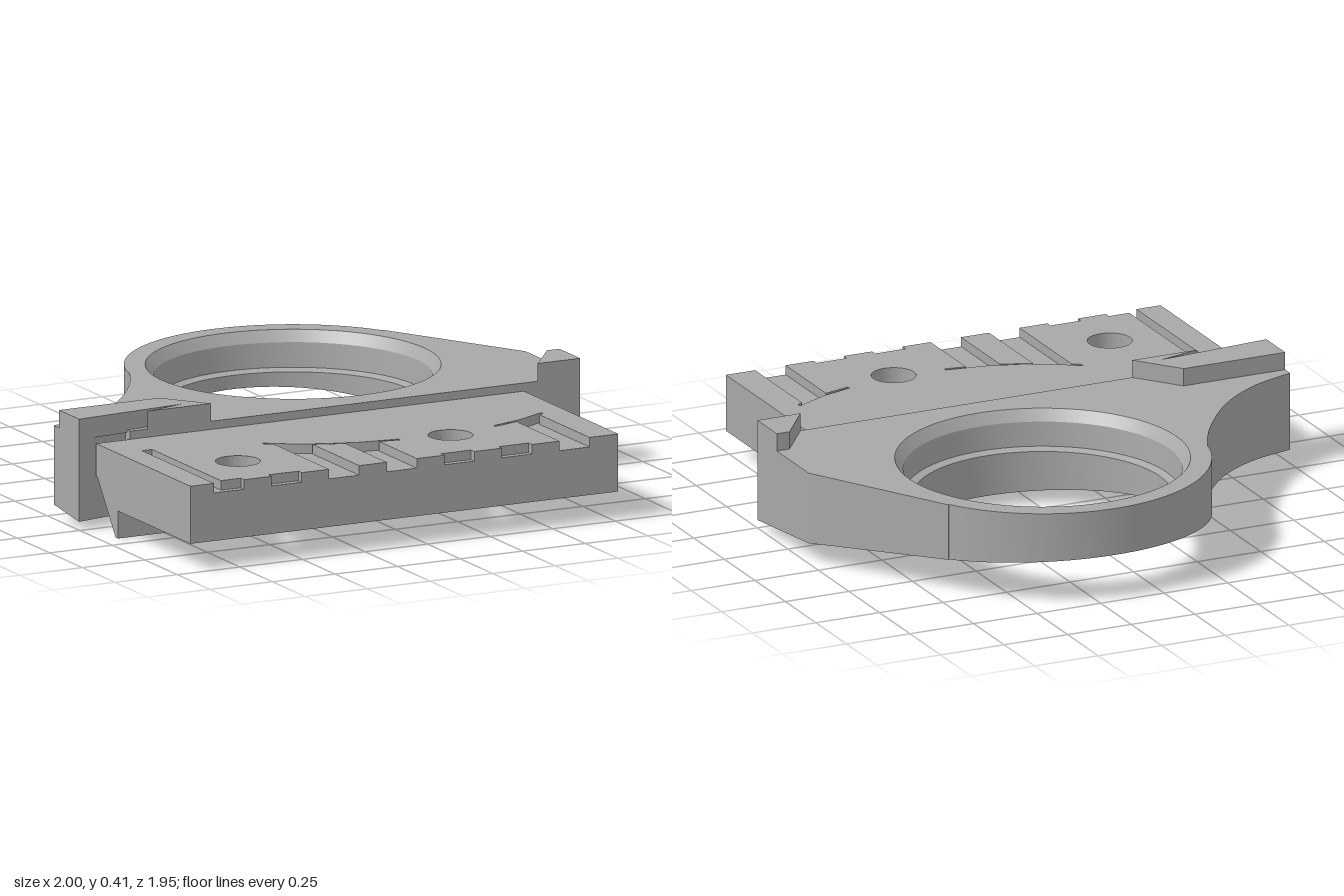
import * as THREE from 'three';
import { toCreasedNormals } from 'three/addons/utils/BufferGeometryUtils.js';

const TOP = 0.34, CX = 0.18, CZ = -0.38;
const underside = (z) => 0.03 + (0.25 - z) * 0.11;

// Closed outline from [x, z] pairs, drawn flat
const outline = (pts) => new THREE.Shape(pts.map(([x, z]) => new THREE.Vector2(x, -z)));

function addHole(shape, x, z, r) {
  const hole = new THREE.Path();
  hole.absarc(x, -z, r, 0, Math.PI * 2, true);
  shape.holes.push(hole);
}

// Raise an outline from y0 to y1
function slab(shape, y0, y1) {
  const g = new THREE.ExtrudeGeometry(shape, { depth: y1 - y0, bevelEnabled: false, curveSegments: 40 });
  return g.rotateX(-Math.PI / 2).translate(0, y0, 0);
}

// Move the bottom vertices (y = 0) onto the sloping underside
function slopeBottom(g) {
  const p = g.attributes.position;
  for (let i = 0; i < p.count; i++) {
    if (p.getY(i) < 0.001) p.setY(i, underside(p.getZ(i)));
  }
  return g;
}

export function createModel() {
  const group = new THREE.Group();
  const gray = new THREE.MeshStandardMaterial({ color: 0xa8a8a8 });
  gray.name = 'gray';
  const add = (name, geometry) => {
    const mesh = new THREE.Mesh(toCreasedNormals(geometry, 0.5), gray);
    mesh.name = name;
    group.add(mesh);
  };

  // Ring plate: round back, straight right flank, hollow left flank
  const plate = new THREE.Shape();
  plate.moveTo(-0.8, -0.25);
  plate.lineTo(1, -0.25);
  plate.lineTo(1, 0.17);
  plate.lineTo(0.70, 0.69);
  const a0 = Math.atan2(0.31, 0.52), a1 = Math.atan2(0.18, -0.57);
  plate.absarc(CX, -CZ, 0.6, a0, a1, false);
  plate.splineThru([[-0.41, 0.5], [-0.5, 0.34], [-0.65, 0.15], [-0.82, 0.02], [-1, -0.05]]
    .map(([x, y]) => new THREE.Vector2(x, y)));
  plate.lineTo(-1, -0.245);
  plate.lineTo(-0.8, -0.215);
  addHole(plate, CX, CZ, 0.525);
  add('ringPlate', slopeBottom(slab(plate, 0, TOP)));

  // Stepped seat lining the large hole
  const seat = [[0.525, TOP], [0.495, 0.30], [0.488, 0.21], [0.46, 0.20], [0.46, 0], [0.53, 0]]
    .map(([r, y]) => new THREE.Vector2(r, y));
  add('ringSeat', slopeBottom(new THREE.LatheGeometry(seat, 80).translate(CX, 0, CZ)));

  // Raised lugs at the front corners of the plate
  add('rightLug', slab(outline([[-1, 0.09], [-1, 0.245], [-0.57, 0.21], [-0.73, 0.25],
    [-0.475, 0.25], [-0.6, 0.09]]), TOP - 0.01, 0.405));
  add('leftLug', slab(outline([[0.95, 0.09], [0.83, 0.25], [1, 0.25], [1, 0.09]]), TOP - 0.01, 0.405));

  // Mounting block with two counterbored screw holes
  const X0 = -0.935, X1 = 0.775, Z1 = 0.975;
  const holes = [-0.61, 0.24];
  for (const [name, y0, y1, r] of [['counterboreLayer', 0.1, 0.2, 0.145], ['blockCore', 0.2, 0.275, 0.08]]) {
    const s = outline([[X0, 0.42], [X0, Z1], [X1, Z1], [X1, 0.42]]);
    holes.forEach((x) => addHole(s, x, 0.715, r));
    add(name, slab(s, y0, y1));
  }

  // Grooved top layer of the block, cut by notches and curved slot ends
  const notch = (a, b) => [[a, Z1], [a, 0.95], [b, 0.95], [b, Z1]];
  const deck = outline([
    [X0, 0.25], [X0, Z1],
    [-0.84, Z1], [-0.84, 0.42], [-0.8, 0.42], [-0.8, 0.95], [-0.72, 0.95], [-0.72, Z1],
    ...notch(-0.61, -0.49),
    [-0.38, Z1], [-0.38, 0.55], [-0.41, 0.53], [-0.41, 0.515], [-0.33, 0.57], [-0.23, 0.62],
    [-0.1, 0.663], [0.05, 0.685], [0.05, 0.697], [-0.03, 0.685], [-0.03, Z1],
    ...notch(0.08, 0.2), ...notch(0.31, 0.43),
    [0.54, Z1], [0.54, 0.645], [0.44, 0.673], [0.44, 0.66], [0.56, 0.625], [0.68, 0.565],
    [0.68, 0.58], [0.66, 0.592], [0.66, Z1],
    [X1, Z1], [X1, 0.25],
  ]);
  holes.forEach((x) => addHole(deck, x, 0.715, 0.08));
  add('groovedDeck', slab(deck, 0.275, 0.31));
  add('deckLand', slab(outline([[-0.26, 0.615], [-0.26, Z1], [-0.15, Z1], [-0.15, 0.657]]), 0.275, 0.31));

  // Hooked rib under the back of the block, with a sloping rear face
  const rib = new THREE.Shape([[0.25, 0.275], [0.25, 0.19], [0.26, 0.19], [0.4, 0], [0.42, 0], [0.42, 0.275]]
    .map(([z, y]) => new THREE.Vector2(-z, y)));
  const ribGeometry = new THREE.ExtrudeGeometry(rib, { depth: X1 - X0, bevelEnabled: false });
  add('hookRib', ribGeometry.rotateY(Math.PI / 2).translate(X0, 0, 0));

  return group;
}
